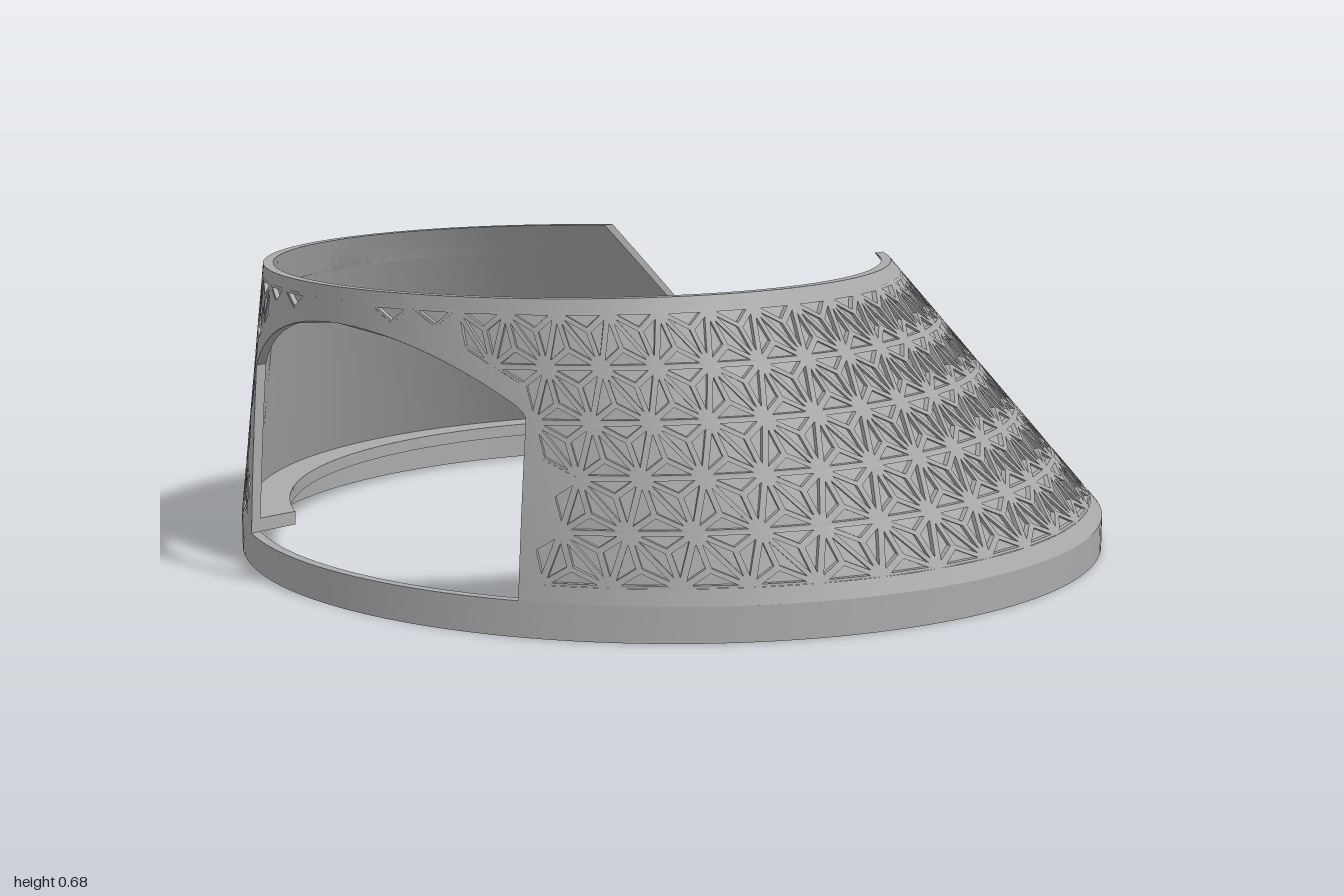
import * as THREE from 'three';
import { toCreasedNormals } from 'three/addons/utils/BufferGeometryUtils.js';

const Y0 = 0.075, Y1 = 0.675;      // wall bottom and top
const CUT = 0.43;                  // half width of the doorway and of the rear gap
const THICK = 0.022, GROOVE = 0.01;
const ARCH_R = 0.691, ARCH_Y = -0.091;
const lerp = (a, b, t) => a + (b - a) * t;
const clamp = THREE.MathUtils.clamp;

// Oblique cone: circles shrink upward while all touching the same front line
const rise = y => clamp((y - Y0) / (Y1 - Y0), 0, 1);
const radius = (y, d = 0) => 1 - 0.305 * rise(y) - d;
function P(a, y, d = 0, shapeY = y) {
  const r = radius(shapeY, d);
  return new THREE.Vector3(r * Math.sin(a), y, -0.05 + 0.305 * rise(shapeY) + r * Math.cos(a));
}
// Doorway half width at a height, and the angles of the two cut edges
const doorway = y => y <= 0.45 ? CUT : y < 0.6 ? Math.sqrt(Math.max(0, ARCH_R ** 2 - (y - ARCH_Y) ** 2)) : 0;
const frontAngle = (y, d = 0) => Math.asin(doorway(y) / radius(y, d));
const backAngle = (y, d = 0) => Math.PI - Math.asin(CUT / radius(y, d));

// Collects triangles for one half and its mirror image
function builder() {
  const pos = [];
  const tri = (a, b, c) => {
    const area = b.clone().sub(a).cross(c.clone().sub(a)).length();
    if (area < 1e-8) return;
    for (const p of [a, b, c]) pos.push(p.x, p.y, p.z);
    for (const p of [a, c, b]) pos.push(-p.x, p.y, p.z);
  };
  const quad = (a, b, c, d) => { tri(a, b, c); tri(a, c, d); };
  const grid = (us, vs, f) => {
    for (let i = 0; i + 1 < us.length; i++)
      for (let j = 0; j + 1 < vs.length; j++)
        quad(f(us[i], vs[j]), f(us[i + 1], vs[j]), f(us[i + 1], vs[j + 1]), f(us[i], vs[j + 1]));
  };
  const mesh = (name, material) => {
    const g = new THREE.BufferGeometry();
    g.setAttribute('position', new THREE.Float32BufferAttribute(pos, 3));
    const m = new THREE.Mesh(toCreasedNormals(g, 0.4), material);
    m.name = name;
    return m;
  };
  return { tri, quad, grid, mesh };
}
const steps = n => Array.from({ length: n + 1 }, (_, i) => i / n);

// Sweep of a four-cornered section [y, depth, shapeY] around the plan circle
function ring(name, material, corners, startX) {
  const b = builder();
  const at = (k, s) => {
    const [y, d, sy] = corners[k % 4];
    const from = Math.asin(startX / radius(sy, d));
    return P(lerp(from, backAngle(sy, d), s), y, d, sy);
  };
  for (let k = 0; k < 4; k++) b.grid(steps(64), [0, 1], (s, v) => at(k + v, s));
  b.quad(at(0, 1), at(3, 1), at(2, 1), at(1, 1));
  if (startX > 0) b.quad(at(0, 0), at(1, 0), at(2, 0), at(3, 0));
  return b.mesh(name, material);
}

// Engraved star lattice on the outside of the wall
function addLattice(b, yLow, yHigh) {
  const rows = 5, half = Math.PI / 44, margin = 0.022;
  const onWall = ([a, y]) => P(clamp(a, frontAngle(y), backAngle(y)), y);
  const inside = ([a, y]) => {
    const m = margin / radius(y);
    const nearArch = y < 0.6 + margin && y > 0.45 && a < frontAngle(Math.max(0.45, y - margin)) + 0.005;
    return a > frontAngle(y) + m * 0.8 && a < backAngle(y) - m && !nearArch;
  };
  const mix = (p, q, t) => [lerp(p[0], q[0], t), lerp(p[1], q[1], t)];

  // Plain patch, finely divided so that it follows the cut edges
  const plain = (A, B, C) => {
    const n = 6;
    const at = (i, j) => onWall([
      A[0] + (B[0] - A[0]) * i / n + (C[0] - A[0]) * j / n,
      A[1] + (B[1] - A[1]) * i / n + (C[1] - A[1]) * j / n]);
    for (let i = 0; i < n; i++) for (let j = 0; j < n - i; j++) {
      b.tri(at(i, j), at(i + 1, j), at(i, j + 1));
      if (i + j < n - 1) b.tri(at(i + 1, j), at(i + 1, j + 1), at(i, j + 1));
    }
  };
  // Triangle with a sunken smaller triangle in it
  const engraved = (A, B, C) => {
    const outer = [A, B, C];
    const len = (p, q) => Math.hypot((p[0] - q[0]) * 0.85, (p[1] - q[1]) * 1.2);
    const w = [len(B, C), len(C, A), len(A, B)], sum = w[0] + w[1] + w[2];
    const centre = [0, 1].map(k => (A[k] * w[0] + B[k] * w[1] + C[k] * w[2]) / sum);
    const hole = outer.map(p => mix(centre, p, 0.66));
    if (!hole.every(inside)) return plain(A, B, C);
    const o = outer.map(onWall), h = hole.map(onWall), f = hole.map(p => P(p[0], p[1], GROOVE));
    for (let i = 0; i < 3; i++) {
      const j = (i + 1) % 3;
      b.quad(o[i], o[j], h[j], h[i]);
      b.quad(h[i], h[j], f[j], f[i]);
    }
    b.tri(f[0], f[1], f[2]);
  };

  for (let j = 0; j < rows; j++) {
    const y0 = lerp(yLow, yHigh, j / rows), y1 = lerp(yLow, yHigh, (j + 1) / rows);
    for (let m = -1; m <= 45; m++) {
      const l = (m - 1) * half, c = m * half, r = (m + 1) * half;
      const T = (m + j) % 2 === 0
        ? [[l, y0], [r, y0], [c, y1]]
        : [[c, y0], [r, y1], [l, y1]];
      const G = [c, (T[0][1] + T[1][1] + T[2][1]) / 3];
      for (let i = 0; i < 3; i++) engraved(T[i], T[(i + 1) % 3], G);
    }
  }
}

function buildWall(material) {
  const b = builder(), low = 0.11, high = 0.648;
  const archYs = steps(14).map(t => ARCH_Y + ARCH_R * Math.cos(Math.asin(CUT / ARCH_R) * (1 - t)));
  archYs[0] = 0.45;
  archYs[14] = 0.6;
  const doorYs = [Y0, 0.2, 0.33, ...archYs];
  const span = (s, y, d) => P(lerp(frontAngle(y, d), backAngle(y, d), s), y, d);
  const us = steps(72);

  // Outside: plain bands below and above the lattice
  b.grid(us, [Y0, low], (s, y) => span(s, y, 0));
  b.grid(us, [high, Y1], (s, y) => span(s, y, 0));
  addLattice(b, low, high);
  // Smooth inside, top rim, rear cut and doorway edges
  b.grid(us, [...doorYs, high, Y1].reverse(), (s, y) => span(s, y, THICK));
  b.grid(us, [0, THICK], (s, d) => span(s, Y1, d));
  b.grid([0, THICK], [...doorYs, high, Y1], (d, y) => span(1, y, d));
  b.grid([THICK, 0], doorYs, (d, y) => span(0, y, d));
  return b.mesh('latticeWall', material);
}

export function createModel() {
  const grey = new THREE.MeshStandardMaterial({ color: 0xaaaaaa });
  grey.name = 'grey';
  const model = new THREE.Group();
  model.name = 'taperedCollar';
  model.add(buildWall(grey));
  // Upright band at the foot, continuous under the doorway
  model.add(ring('baseBand', grey,
    [[0, 0, 0], [Y0, 0, 0], [Y0, THICK, 0], [0, THICK, 0]], 0));
  // Flat shelf inside the wall, stopping at the doorway
  model.add(ring('innerLedge', grey,
    [[Y0, 0.012, Y0], [0.105, 0.012, 0.105], [0.105, 0.11, Y0], [Y0, 0.11, Y0]], CUT));
  return model;
}
